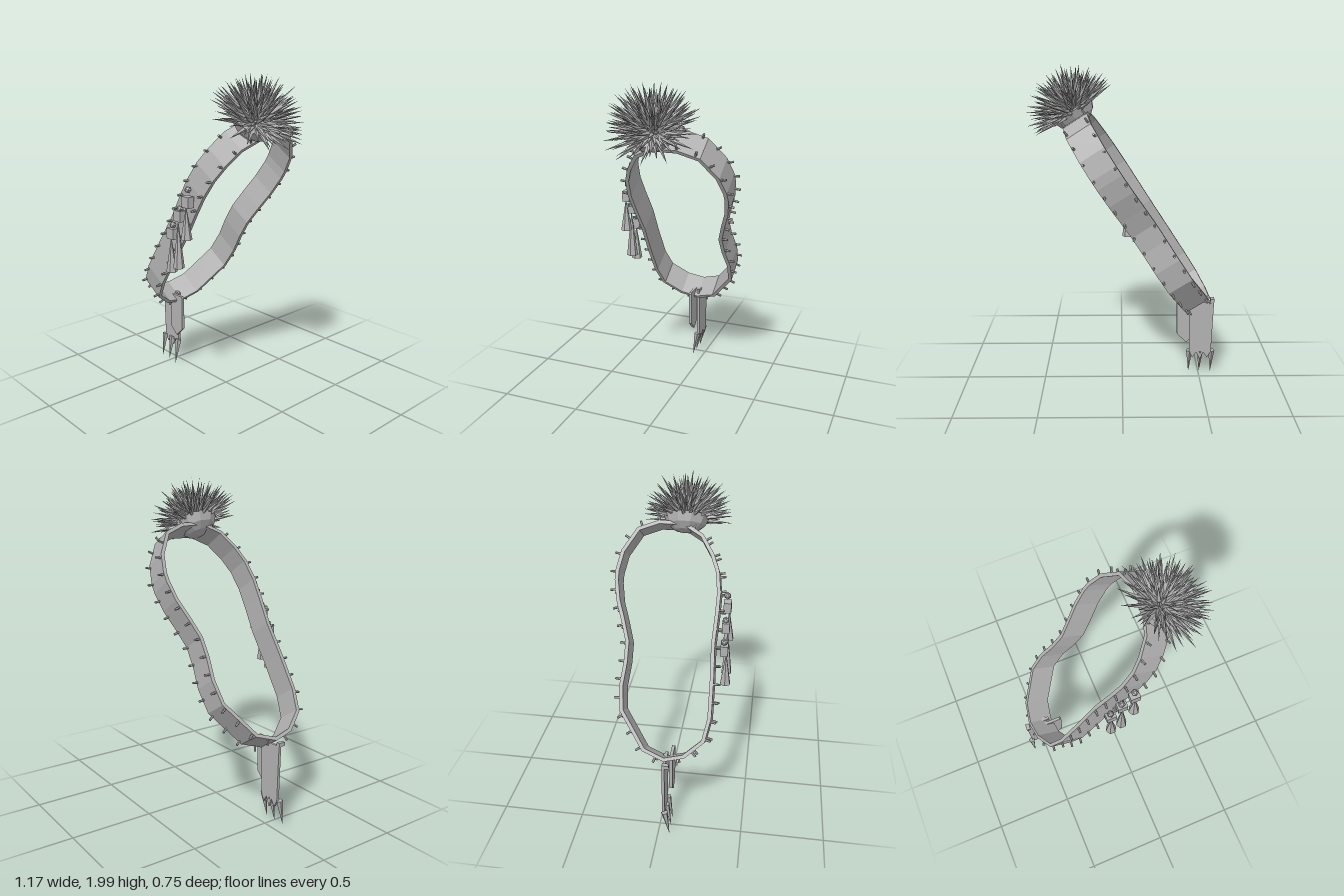
import * as THREE from 'three';
import { mergeGeometries } from 'three/addons/utils/BufferGeometryUtils.js';

const V = (x, y, z) => new THREE.Vector3(x, y, z);
const UP = V(0, 1, 0);
const TILT = -0.57; // lean of the whole strap in the xy plane

const grey = new THREE.MeshStandardMaterial({ color: 0xb2b2b2, flatShading: true });
grey.name = 'grey';

// Strap outline as [z, distance along the strap]
const LOOP = [
  [0.03, 0], [-0.1, 0.05], [-0.25, 0.27], [-0.265, 0.42], [-0.25, 0.56], [-0.25, 0.68],
  [-0.285, 0.8], [-0.325, 0.92], [-0.345, 1.04], [-0.345, 1.1], [-0.32, 1.22], [-0.235, 1.36],
  [-0.11, 1.41], [0.04, 1.41], [0.16, 1.34], [0.23, 1.23], [0.27, 1.13], [0.288, 1.0],
  [0.285, 0.87], [0.276, 0.7], [0.285, 0.5], [0.288, 0.27], [0.26, 0.13], [0.15, 0.03],
];

function add(parent, name, geometry, x = 0, y = 0, z = 0) {
  const m = new THREE.Mesh(geometry, grey);
  m.name = name;
  m.position.set(x, y, z);
  parent.add(m);
  return m;
}

// Moves a geometry built along +y so it starts at p and points along dir
function aim(geometry, p, dir) {
  const q = new THREE.Quaternion().setFromUnitVectors(UP, dir);
  return geometry.applyQuaternion(q).translate(p.x, p.y, p.z);
}

// Closed band with a rectangular section
function strapGeometry(halfWidth, thickness) {
  const n = LOOP.length, pos = [], idx = [];
  LOOP.forEach(([z, u], i) => {
    const a = LOOP[(i + n - 1) % n], b = LOOP[(i + 1) % n];
    const len = Math.hypot(b[0] - a[0], b[1] - a[1]);
    const iz = z + (b[1] - a[1]) / len * thickness;
    const iu = u - (b[0] - a[0]) / len * thickness;
    pos.push(-halfWidth, u, z, halfWidth, u, z, halfWidth, iu, iz, -halfWidth, iu, iz);
    const j = (i + 1) % n;
    for (let k = 0; k < 4; k++) {
      const l = (k + 1) % 4;
      idx.push(i * 4 + k, j * 4 + k, j * 4 + l, i * 4 + k, j * 4 + l, i * 4 + l);
    }
  });
  let g = new THREE.BufferGeometry();
  g.setAttribute('position', new THREE.Float32BufferAttribute(pos, 3));
  g.setIndex(idx);
  g = g.toNonIndexed();
  g.computeVertexNormals();
  return g;
}

// Two rows of pegs, evenly spaced round the band
function pegGeometry(spacing) {
  const parts = [];
  let next = spacing / 2, done = 0;
  LOOP.forEach((a, i) => {
    const b = LOOP[(i + 1) % LOOP.length];
    const dz = b[0] - a[0], du = b[1] - a[1], len = Math.hypot(dz, du);
    for (; next < done + len; next += spacing) {
      const t = (next - done) / len;
      const dir = V(0, dz / len, -du / len);
      for (const x of [-0.07, 0.07]) {
        const peg = new THREE.CylinderGeometry(0.007, 0.007, 0.045, 6).translate(0, 0.01, 0);
        parts.push(aim(peg, V(x, a[1] + du * t, a[0] + dz * t), dir));
      }
    }
    done += len;
  });
  return mergeGeometries(parts);
}

// Half ball of long four-sided spikes
function spikeGeometry(count) {
  let seed = 7;
  const rand = () => (seed = (seed * 16807) % 2147483647) / 2147483647;
  const parts = [];
  for (let i = 0; i < count; i++) {
    const c = 1 - 0.98 * (i + 0.5) / count, s = Math.sqrt(1 - c * c), t = i * 2.39996;
    const dir = V(s * Math.cos(t) + (rand() - 0.5) * 0.12, c, s * Math.sin(t) + (rand() - 0.5) * 0.12).normalize();
    const tip = 0.22 + rand() * 0.075, start = 0.05;
    const spike = new THREE.ConeGeometry(0.019, tip - start, 4);
    spike.rotateY(rand() * 3).translate(0, (tip + start) / 2, 0);
    parts.push(aim(spike, V(0, 0, 0), dir));
  }
  return mergeGeometries(parts);
}

// Thin upright plate from an outline
function plateGeometry(points, depth) {
  const shape = new THREE.Shape(points.map(([x, y]) => new THREE.Vector2(x, y)));
  return new THREE.ExtrudeGeometry(shape, { depth, bevelEnabled: false });
}

export function createModel() {
  const model = new THREE.Group();
  model.name = 'spikedStrap';

  // Slanted strap with pegs
  const strap = new THREE.Group();
  strap.name = 'strap';
  strap.position.set(-0.49, 0.495, 0);
  strap.rotation.z = TILT;
  model.add(strap);
  add(strap, 'band', strapGeometry(0.082, 0.022));
  add(strap, 'pegs', pegGeometry(0.108));

  // Shoulder cup filled with spikes
  const shoulder = new THREE.Group();
  shoulder.name = 'shoulderSpikes';
  shoulder.position.set(0.285, 1.715, 0.045);
  shoulder.rotation.z = TILT;
  model.add(shoulder);
  const cup = [[0, -0.09], [0.07, -0.075], [0.115, -0.04], [0.14, 0.015], [0.115, 0.02], [0, 0.03]];
  add(shoulder, 'cup', new THREE.LatheGeometry(cup.map(([x, y]) => new THREE.Vector2(x, y)), 10));
  add(shoulder, 'spikes', spikeGeometry(190));

  // Hanging teeth: [x, bead height, box centre height, tip height]
  for (const [x, bead, box, tip] of [[-0.105, 1.105, 1.055, 0.82], [-0.037, 1.215, 1.175, 0.86], [0.038, 1.34, 1.27, 1.05]]) {
    const tooth = new THREE.Group();
    tooth.name = 'hangingTooth';
    model.add(tooth);
    add(tooth, 'bead', new THREE.IcosahedronGeometry(0.022, 0), x, bead, 0.325);
    add(tooth, 'cap', new THREE.BoxGeometry(0.06, 0.065, 0.045), x, box, 0.328);
    const top = box - 0.02;
    const fang = new THREE.ConeGeometry(0.034, top - tip, 6).rotateY(Math.PI / 6);
    add(tooth, 'fang', fang, x, (top + tip) / 2, 0.34);
  }

  // Two hanging plates at the low end
  add(model, 'longPlate', plateGeometry([
    [-0.585, 0.51], [-0.575, 0.17], [-0.55, 0.125], [-0.525, 0.165], [-0.505, 0.11],
    [-0.48, 0.165], [-0.455, 0.125], [-0.435, 0.17], [-0.425, 0.51],
  ], 0.016), 0, 0, 0.024);
  add(model, 'shortPlate', plateGeometry([
    [-0.47, 0.51], [-0.47, 0.27], [-0.415, 0.222], [-0.355, 0.28], [-0.35, 0.5], [-0.36, 0.51],
  ], 0.018), 0, 0, 0.054);
  add(model, 'plateStud', new THREE.BoxGeometry(0.035, 0.022, 0.022), -0.462, 0.5, 0.028);
  add(model, 'sideStud', new THREE.BoxGeometry(0.025, 0.022, 0.04), -0.575, 0.52, 0.045);

  // Claws under the long plate, leaning forward
  for (const x of [-0.58, -0.506, -0.436]) {
    const claw = new THREE.ConeGeometry(0.021, 0.17, 5).rotateX(Math.PI);
    add(model, 'claw', claw, x, 0.088, 0.055).rotation.x = -0.18;
  }
  return model;
}
